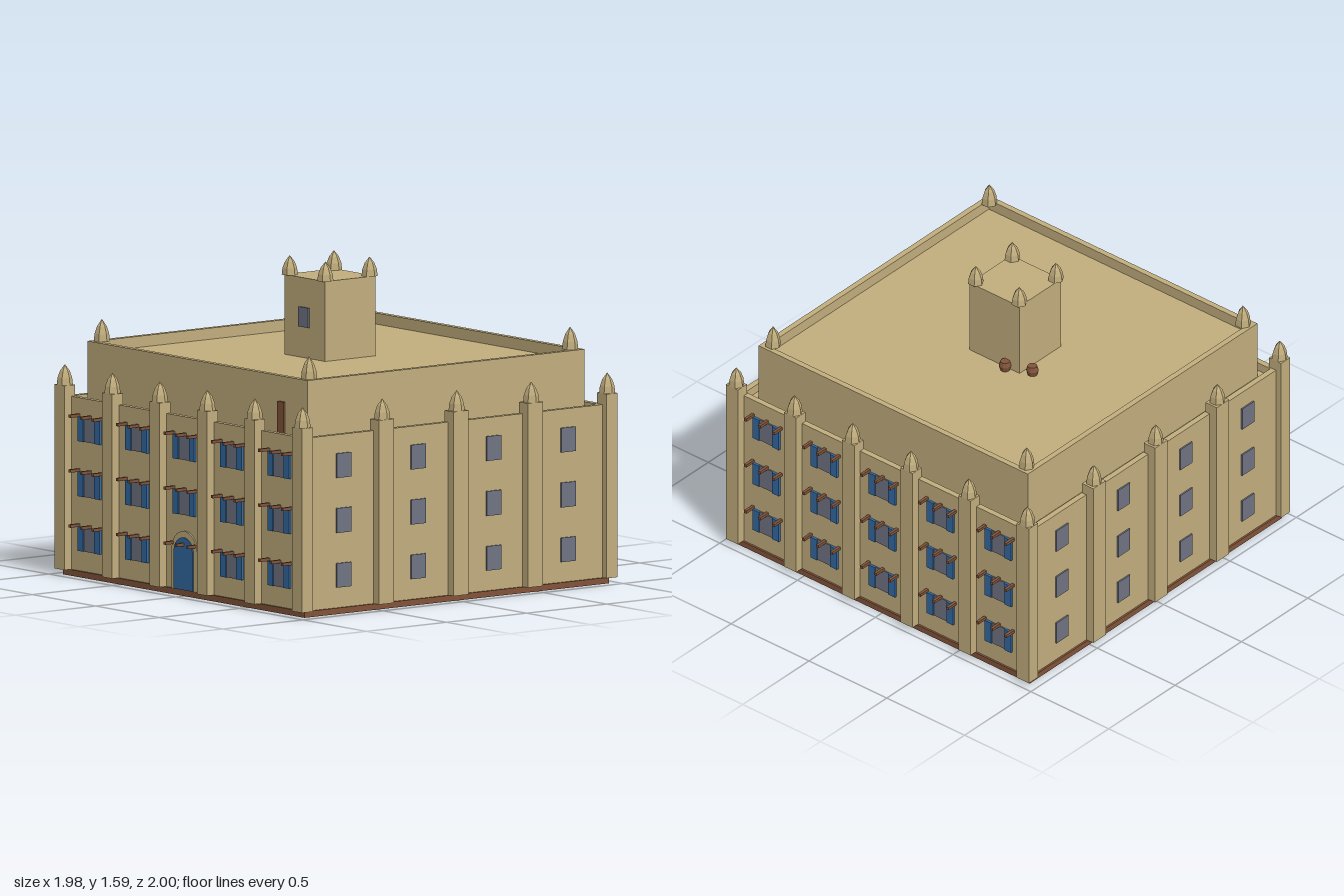
import * as THREE from 'three';

const stone = new THREE.MeshStandardMaterial({ name: 'stone', color: 0xc2ae7e });
const glass = new THREE.MeshStandardMaterial({ name: 'glass', color: 0x707483 });
const blue = new THREE.MeshStandardMaterial({ name: 'bluePaint', color: 0x346aa4 });
const wood = new THREE.MeshStandardMaterial({ name: 'brownWood', color: 0x83543a });

export function createModel() {
  const model = new THREE.Group();
  model.name = 'palace';

  function add(name, geometry, material, x = 0, y = 0, z = 0, parent = model) {
    const mesh = new THREE.Mesh(geometry, material);
    mesh.name = name;
    mesh.position.set(x, y, z);
    parent.add(mesh);
    return mesh;
  }
  // Box given by its centre in x and z and its bottom and top in y
  const block = (name, mat, x, z, w, d, y0, y1, parent) =>
    add(name, new THREE.BoxGeometry(w, y1 - y0, d), mat, x, (y0 + y1) / 2, z, parent);

  // Six-sided faceted turned shape, with corners on the x axis
  function turned(profile, sides) {
    const points = profile.map(([r, y]) => new THREE.Vector2(r, y));
    const g = new THREE.LatheGeometry(points, sides, Math.PI / 2).toNonIndexed();
    g.computeVertexNormals();
    return g;
  }
  const spireShape = turned([[0, 0], [0.04, 0], [0.036, 0.035], [0.024, 0.068], [0, 0.1]], 6);
  const spire = (x, y, z, h = 0.1) => {
    add('spire', spireShape, stone, x, y, z).scale.y = h / 0.1;
  };

  // A storey with a raised parapet around a sunken flat roof
  function storey(name, half, y0, floor, y1, wall) {
    block(name + 'Walls', stone, 0, 0, half * 2, half * 2, y0, floor);
    const ring = new THREE.Shape();
    const square = (path, r) => path.moveTo(-r, -r).lineTo(r, -r).lineTo(r, r).lineTo(-r, r).closePath();
    square(ring, half);
    const hole = new THREE.Path();
    square(hole, half - wall);
    ring.holes.push(hole);
    const g = new THREE.ExtrudeGeometry(ring, { depth: y1 - floor, bevelEnabled: false });
    add(name + 'Parapet', g.rotateX(-Math.PI / 2), stone, 0, floor, 0);
  }

  block('plinth', wood, 0, 0, 1.9, 1.9, 0, 0.03);
  storey('lower', 0.94, 0.03, 0.84, 0.885, 0.03);
  storey('upper', 0.865, 0.84, 1.1, 1.155, 0.03);
  block('tower', stone, -0.05, -0.0025, 0.32, 0.315, 1.1, 1.495);

  // Pinnacles on the upper storey and tower
  for (const sx of [-1, 1]) for (const sz of [-1, 1]) {
    spire(sx * 0.815, 1.155, sz * 0.815, 0.11);
    spire(-0.05 + sx * 0.14, 1.495, sz * 0.138, 0.095);
  }

  // Pilasters, front and back, then both sides
  for (const s of [-1, 1]) {
    for (const x of [-0.935, -0.56, -0.187, 0.187, 0.56, 0.935]) {
      block('pilaster', stone, x, s * 0.951, 0.078, 0.068, 0.03, 0.94);
      spire(x, 0.94, s * 0.951);
    }
    for (const z of [-0.465, 0, 0.465]) {
      block('sidePilaster', stone, s * 0.949, z, 0.072, 0.094, 0.03, 0.94);
      spire(s * 0.949, 0.94, z);
    }
  }

  // Shuttered windows with projecting beams on the front and back
  const rows = [[0.13, 0.25], [0.4, 0.522], [0.672, 0.793]];
  for (const s of [-1, 1]) {
    const facade = new THREE.Group();
    facade.name = s > 0 ? 'frontFacade' : 'backFacade';
    facade.rotation.y = s > 0 ? 0 : Math.PI;
    model.add(facade);
    rows.forEach(([y0, y1], row) => {
      for (let col = -2; col <= 2; col++) {
        const x = col * 0.373;
        for (const k of [-1, 0, 1]) {
          block('beam', wood, x + k * 0.09, 0.967, 0.015, 0.066, y1 - 0.002, y1 + 0.013, facade);
        }
        if (s > 0 && row === 0 && col === 0) continue;
        block('window', glass, x, 0.942, 0.086, 0.009, y0, y1, facade);
        for (const k of [-1, 1]) {
          block('shutter', blue, x + k * 0.064, 0.945, 0.042, 0.016, y0, y1, facade);
        }
      }
    });
  }

  // Plain windows on the sides
  for (const s of [-1, 1]) for (const [y0, y1] of rows) for (const z of [-0.7, -0.235, 0.235, 0.7]) {
    block('sideWindow', glass, s * 0.943, z, 0.009, 0.09, y0, y1);
  }
  block('towerWindow', glass, -0.052, 0.159, 0.078, 0.009, 1.252, 1.35);

  // Arched front door and its stone surround
  function arch(name, mat, r, spring, depth) {
    const shape = new THREE.Shape();
    shape.moveTo(-r, 0.03).lineTo(r, 0.03).lineTo(r, spring);
    shape.absarc(0, spring, r, 0, Math.PI, false);
    shape.closePath();
    const g = new THREE.ExtrudeGeometry(shape, { depth, bevelEnabled: false, curveSegments: 16 });
    add(name, g, mat, 0, 0, 0.938);
  }
  arch('doorSurround', stone, 0.1, 0.22, 0.01);
  arch('frontDoor', blue, 0.074, 0.215, 0.017);

  block('terraceDoor', wood, 0.665, 0.87, 0.05, 0.012, 0.84, 1.03);

  // Two small barrels beside the tower
  const barrel = turned([[0, 0], [0.024, 0], [0.031, 0.025], [0.024, 0.05], [0, 0.05]], 10);
  add('barrel', barrel, wood, -0.262, 1.1, -0.123);
  add('barrel', barrel, wood, -0.133, 1.1, -0.178);

  return model;
}
